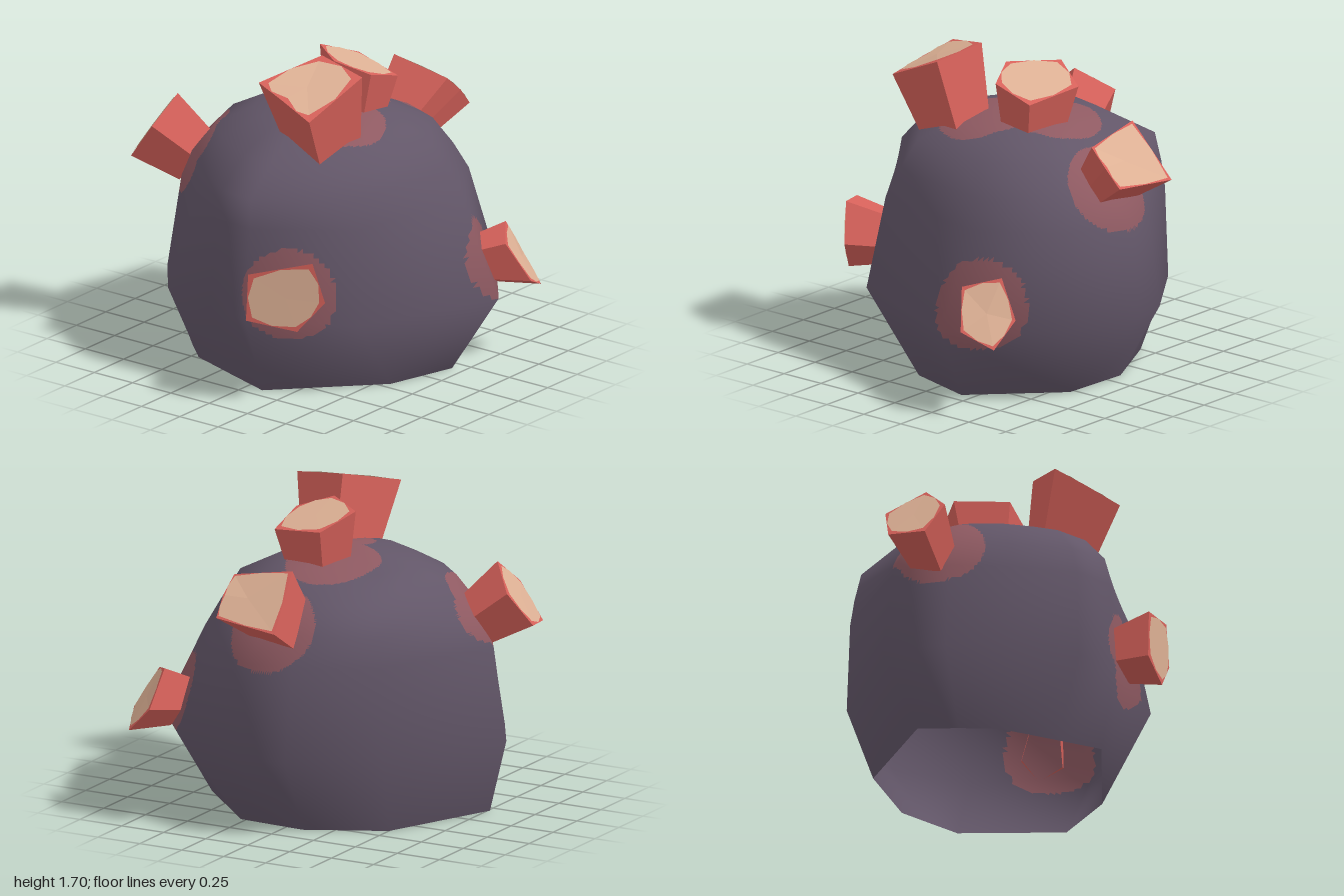
import * as THREE from 'three';

const paint = (name, color) => {
  const m = new THREE.MeshStandardMaterial({ color, side: THREE.DoubleSide });
  m.name = name;
  return m;
};
const rockPaint = paint('dusky purple', 0x625668);
const stainPaint = paint('muted rose', 0x8f5a62);
const crystalPaint = paint('coral red', 0xd8625b);
const tipPaint = paint('pale tan', 0xdeb195);

// Rock cross-sections from the ground up: height, then x,z corners from the back round by the left
const rings = [
  [0, [-0.2, -0.76, 0.4, -0.5, 0.6, -0.1, 0.59, 0.1, 0.58, 0.28, 0.18, 0.68, -0.2, 0.57, -0.68, 0.1, -0.6, -0.14, -0.49, -0.46, -0.35, -0.61]],
  [0.42, [-0.1, -0.915, 0.545, -0.55, 0.84, -0.13, 0.9, 0.12, 0.745, 0.53, 0.25, 0.93, -0.52, 0.61, -0.8, 0.08, -0.78, -0.16, -0.66, -0.53, -0.39, -0.74]],
  [0.91, [-0.1, -0.84, 0.54, -0.53, 0.76, -0.13, 0.8, 0.1, 0.66, 0.42, 0.25, 0.68, -0.45, 0.54, -0.76, 0.08, -0.75, -0.14, -0.56, -0.43, -0.35, -0.68]],
  [1.06, [-0.08, -0.74, 0.54, -0.5, 0.66, -0.13, 0.69, 0.1, 0.58, 0.38, 0.22, 0.6, -0.39, 0.5, -0.735, 0.07, -0.71, -0.14, -0.53, -0.41, -0.34, -0.62]],
  [1.22, [0, -0.61, 0.53, -0.46, 0.55, -0.13, 0.56, 0.1, 0.47, 0.33, 0.18, 0.51, -0.32, 0.44, -0.58, 0.08, -0.57, -0.11, -0.43, -0.35, -0.27, -0.52]],
  [1.32, [0, -0.42, 0.25, -0.36, 0.34, -0.1, 0.35, 0.06, 0.28, 0.2, 0.1, 0.31, -0.2, 0.27, -0.37, 0.05, -0.36, -0.08, -0.27, -0.23, -0.16, -0.34]],
  [1.39, new Array(22).fill(-0.02)],
];
const SIDES = 11;
const STAIN_RADIUS = 0.25;

// Crystals: centre of the buried base, centre of the stain, wear of the tip, five tip corners
const crystals = [
  { name: 'topRightCrystal', base: [-0.28, 1.25, 0.17], stain: [-0.1, 1.33, 0.15], worn: 0.8,
    tip: [[-0.17, 1.7, 0.1], [-0.22, 1.66, 0.4], [-0.58, 1.5, 0.33], [-0.54, 1.56, 0.13], [-0.5, 1.61, -0.06]] },
  { name: 'topCrystal', base: [0.13, 1.28, 0.06], stain: [0.19, 1.32, -0.05], worn: 0.84,
    tip: [[-0.03, 1.62, 0.07], [0.15, 1.61, -0.16], [0.35, 1.53, -0.06], [0.28, 1.49, 0.25], [0.05, 1.56, 0.25]] },
  { name: 'leftCrystal', base: [0.62, 1.1, 0.06], stain: [0.68, 1.09, 0.06], worn: 0.91,
    tip: [[0.69, 1.41, -0.09], [0.93, 1.13, -0.12], [0.89, 1.16, 0.25], [0.8, 1.26, 0.26], [0.7, 1.35, 0.25]] },
  { name: 'frontLeftCrystal', base: [0.4, 0.535, 0.72], stain: [0.39, 0.55, 0.78], worn: 0.88,
    tip: [[0.525, 0.73, 0.765], [0.64, 0.53, 0.79], [0.61, 0.395, 0.93], [0.44, 0.475, 0.995], [0.36, 0.68, 0.89]] },
  { name: 'frontRightCrystal', base: [-0.68, 0.57, 0.23], stain: [-0.69, 0.56, 0.28], worn: 0.85,
    tip: [[-0.93, 0.735, 0.2], [-0.76, 0.81, 0.49], [-0.725, 0.595, 0.545], [-0.8, 0.43, 0.42], [-0.935, 0.48, 0.19]] },
  { name: 'backCrystal', base: [-0.22, 0.99, -0.67], stain: [-0.22, 1.02, -0.62], worn: 0.85,
    tip: [[-0.44, 0.99, -0.94], [-0.23, 1.02, -1], [-0.115, 1.205, -0.91], [-0.27, 1.325, -0.765], [-0.445, 1.185, -0.8]] },
].map(c => ({
  ...c,
  base: new THREE.Vector3(...c.base),
  stain: new THREE.Vector3(...c.stain),
  tip: c.tip.map(p => new THREE.Vector3(...p)),
}));

function meshOf(name, geometry, material) {
  const m = new THREE.Mesh(geometry, material);
  m.name = name;
  return m;
}

// Smooth rock shell, open underneath, stained around each crystal
function makeRock() {
  const at = (i, j) => i * SIDES + (j % SIDES);
  const coarse = new THREE.BufferGeometry();
  const corners = rings.flatMap(([y, p]) =>
    Array.from({ length: SIDES }, (_, j) => [p[2 * j], y, p[2 * j + 1]])).flat();
  coarse.setAttribute('position', new THREE.Float32BufferAttribute(corners, 3));
  const faces = [];
  for (let i = 0; i < rings.length - 1; i++)
    for (let j = 0; j < SIDES; j++)
      faces.push(at(i, j), at(i + 1, j), at(i, j + 1), at(i + 1, j), at(i + 1, j + 1), at(i, j + 1));
  coarse.setIndex(faces);
  coarse.computeVertexNormals();
  const normals = coarse.attributes.normal;
  for (let j = 0; j < SIDES; j++) normals.setXYZ(at(rings.length - 1, j), 0, 1, 0);

  // Finer grid over the facets, so that the stains get a clean outline
  const N = 20, cols = SIDES * N, rows = (rings.length - 1) * N;
  const sample = (attr, r, c) => {
    const i = Math.min(Math.floor(r / N), rings.length - 2), j = Math.floor(c / N);
    const u = c / N - j, v = r / N - i;
    const get = (a, b) => new THREE.Vector3().fromBufferAttribute(attr, at(a, b));
    return get(i, j).lerp(get(i, j + 1), u).lerp(get(i + 1, j).lerp(get(i + 1, j + 1), u), v);
  };
  const pos = [], nor = [], plain = [], stained = [], points = [];
  for (let r = 0; r <= rows; r++)
    for (let c = 0; c <= cols; c++) {
      const p = sample(coarse.attributes.position, r, c);
      points.push(p);
      pos.push(...p.toArray());
      nor.push(...sample(normals, r, c).normalize().toArray());
    }
  const addFace = (...t) => {
    const mid = t.reduce((s, k) => s.add(points[k]), new THREE.Vector3()).divideScalar(3);
    const near = crystals.some(k => k.stain.distanceTo(mid) < STAIN_RADIUS);
    (near ? stained : plain).push(...t);
  };
  for (let r = 0; r < rows; r++)
    for (let c = 0; c < cols; c++) {
      const a = r * (cols + 1) + c, b = a + cols + 1;
      addFace(a, b, a + 1);
      addFace(b, b + 1, a + 1);
    }
  const g = new THREE.BufferGeometry();
  g.setAttribute('position', new THREE.Float32BufferAttribute(pos, 3));
  g.setAttribute('normal', new THREE.Float32BufferAttribute(nor, 3));
  g.setIndex([...plain, ...stained]);
  g.addGroup(0, plain.length, 0);
  g.addGroup(plain.length, stained.length, 1);
  return meshOf('rock', g, [rockPaint, stainPaint]);
}

function flatGeometry(triangles) {
  const g = new THREE.BufferGeometry().setFromPoints(triangles);
  g.computeVertexNormals();
  return g;
}

// Flared five-sided crystal with a pale worn patch on its tip
function makeCrystal({ name, base, tip, worn }) {
  const group = new THREE.Group();
  group.name = name;
  const centre = tip.reduce((s, p) => s.add(p), new THREE.Vector3()).divideScalar(5);
  const axis = centre.clone().sub(base).normalize();
  const turn = tip[0].clone().sub(centre).cross(tip[1].clone().sub(centre));
  const top = turn.dot(axis) > 0 ? tip : [...tip].reverse();
  const foot = top.map(p => p.clone().sub(centre).multiplyScalar(0.74).add(base));
  const body = [], patch = [];
  const lift = axis.clone().multiplyScalar(0.004);
  const inset = (p, s) => centre.clone().lerp(p, s).add(lift);
  top.forEach((p, k) => {
    const n = (k + 1) % 5, q = top[n];
    body.push(foot[k], foot[n], q, foot[k], q, p, centre, p, q);
    const middle = inset(p.clone().lerp(q, 0.5), 0.98), hub = inset(centre, 1);
    patch.push(hub, inset(p, worn), middle, hub, middle, inset(q, worn));
  });
  group.add(meshOf('crystalBody', flatGeometry(body), crystalPaint));
  group.add(meshOf('crystalTip', flatGeometry(patch), tipPaint));
  return group;
}

export function createModel() {
  const model = new THREE.Group();
  model.name = 'crystalRock';
  model.add(makeRock(), ...crystals.map(makeCrystal));
  return model;
}
